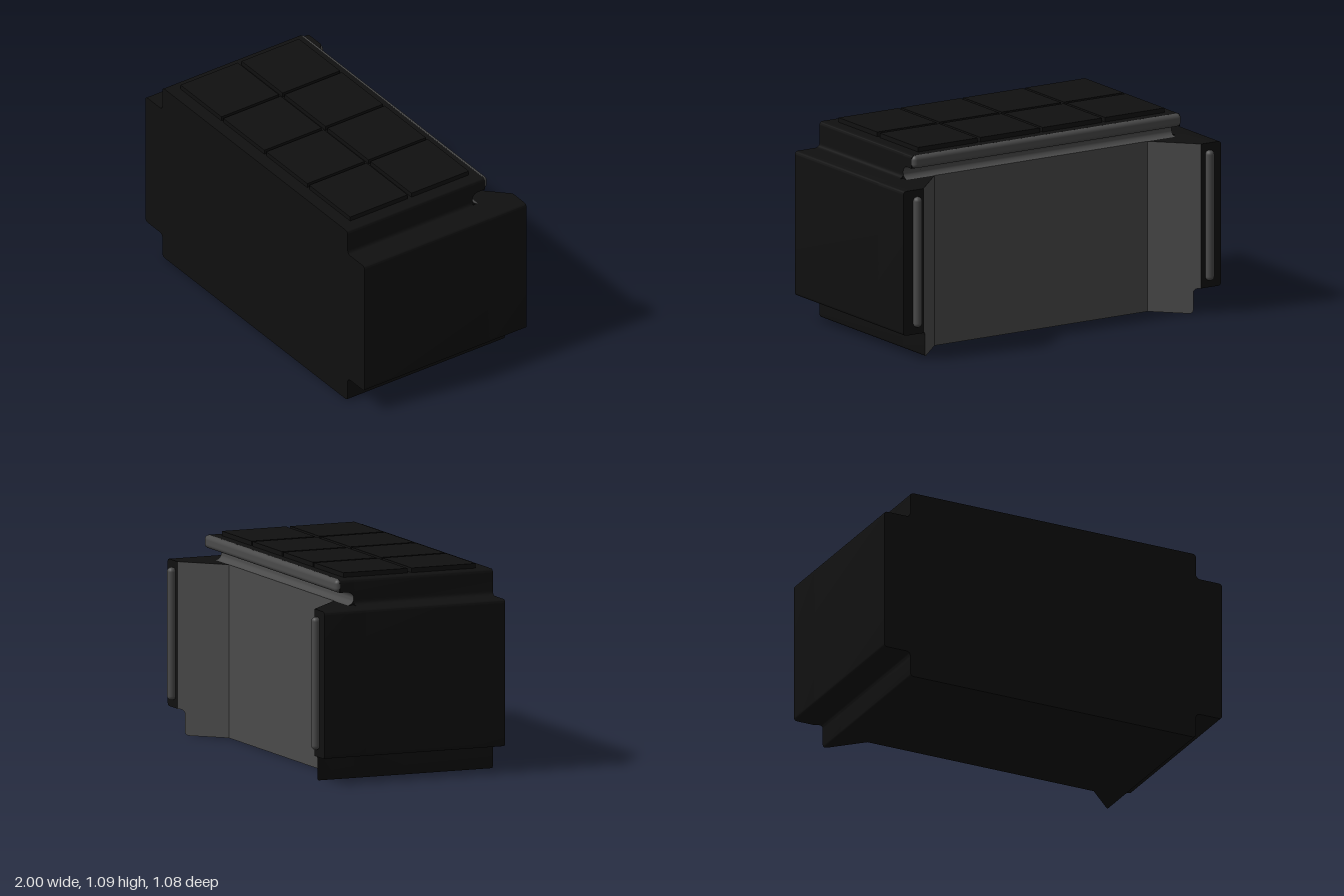
import * as THREE from 'three';
import { toCreasedNormals } from 'three/addons/utils/BufferGeometryUtils.js';
import { RoundedBoxGeometry } from 'three/addons/geometries/RoundedBoxGeometry.js';

const black = new THREE.MeshStandardMaterial({ color: 0x101010 });
const grey = new THREE.MeshStandardMaterial({ color: 0x4a4a4a });

// Closed outline from corners [x, y, radius]
function outline(corners) {
  const shape = new THREE.Shape();
  const n = corners.length;
  corners.forEach(([x, y, r = 0], i) => {
    const p = new THREE.Vector2(x, y);
    const towards = (c) => new THREE.Vector2(c[0], c[1]).sub(p).setLength(r).add(p);
    const a = towards(corners[(i + n - 1) % n]);
    const b = towards(corners[(i + 1) % n]);
    if (i === 0) shape.moveTo(a.x, a.y);
    else shape.lineTo(a.x, a.y);
    if (r > 0) shape.quadraticCurveTo(x, y, b.x, b.y);
  });
  shape.closePath();
  return shape;
}

// Extrude an outline from z0 to z1
function extrude(shape, z0, z1) {
  const geometry = new THREE.ExtrudeGeometry(shape, { depth: z1 - z0, bevelEnabled: false, curveSegments: 6 });
  return geometry.translate(0, 0, z0);
}

export function createModel() {
  const model = new THREE.Group();
  const add = (name, geometry, material) => {
    const mesh = new THREE.Mesh(geometry, material);
    mesh.name = name;
    model.add(mesh);
    return mesh;
  };
  const smooth = (geometry) => toCreasedNormals(geometry, 0.6);

  // Main body: stepped section, wider in the middle
  const half = [
    [0.845, 0, 0.02], [0.845, 0.14, 0.028], [1, 0.14, 0.02],
    [1, 0.925, 0.02], [0.845, 0.925, 0.028], [0.845, 1.065, 0.02],
  ];
  const mirrored = half.map(([x, y, r]) => [-x, y, r]).reverse();
  add('body', smooth(extrude(outline([...half, ...mirrored]), -0.265, 0.54)), black);

  // Recessed back wall
  add('backWall', extrude(outline([[-0.67, 0], [0.67, 0], [0.67, 0.925], [-0.67, 0.925]]), -0.3, -0.26), [grey, black]);

  for (const s of [1, -1]) {
    const side = s > 0 ? 'left' : 'right';

    // Slanted cheek: its back cap is sheared to 45 degrees
    const cheek = extrude(outline([
      [s * 0.67, 0], [s * 0.845, 0, 0.02], [s * 0.845, 0.14, 0.028],
      [s * 0.875, 0.14], [s * 0.875, 0.925], [s * 0.67, 0.925],
    ]), -0.3, -0.26);
    const pos = cheek.attributes.position;
    for (let i = 0; i < pos.count; i++) {
      if (pos.getZ(i) < -0.28) pos.setZ(i, -0.3 - (Math.abs(pos.getX(i)) - 0.67));
    }
    cheek.computeVertexNormals();
    add(side + 'Cheek', smooth(cheek), [grey, black]);

    // Outer post behind the body
    add(side + 'Post', smooth(extrude(outline([
      [s * 0.875, 0.14], [s, 0.14, 0.02], [s, 0.925, 0.02], [s * 0.875, 0.925],
    ]), -0.505, -0.26)), black);

    // Vertical round seal on the post
    const seal = add(side + 'Seal', new THREE.CapsuleGeometry(0.024, 0.662, 6, 16), grey);
    seal.position.set(s * 0.92, 0.535, -0.519);
  }

  // Roof lip overhanging the recess
  add('roofLip', smooth(extrude(outline([
    [-0.845, 0.995], [0.845, 0.995], [0.845, 1.065, 0.02], [-0.845, 1.065, 0.02],
  ]), -0.346, -0.26)), black);
  const lipSeal = add('roofLipSeal', new RoundedBoxGeometry(1.69, 0.07, 0.05, 4, 0.024), grey);
  lipSeal.position.set(0, 1.03, -0.344);

  // Half-round end of the slot under the lip (profile in z and y, run along x)
  const slot = new THREE.Shape();
  slot.moveTo(0.26, 0.925);
  slot.lineTo(0.3, 0.925);
  slot.absarc(0.3, 0.96, 0.035, 1.5 * Math.PI, 0.5 * Math.PI, true);
  slot.lineTo(0.26, 0.995);
  slot.closePath();
  add('slotEnd', smooth(extrude(slot, -0.845, 0.845).rotateY(Math.PI / 2)), [black, grey]);

  // Raised roof pads, four by two
  for (let col = 0; col < 4; col++) {
    for (let row = 0; row < 2; row++) {
      const pad = add('roofPad', new THREE.BoxGeometry(0.374, 0.03, 0.37), black);
      pad.position.set(-0.593 + col * 0.392, 1.075, 0.285 - row * 0.395);
    }
  }
  return model;
}
